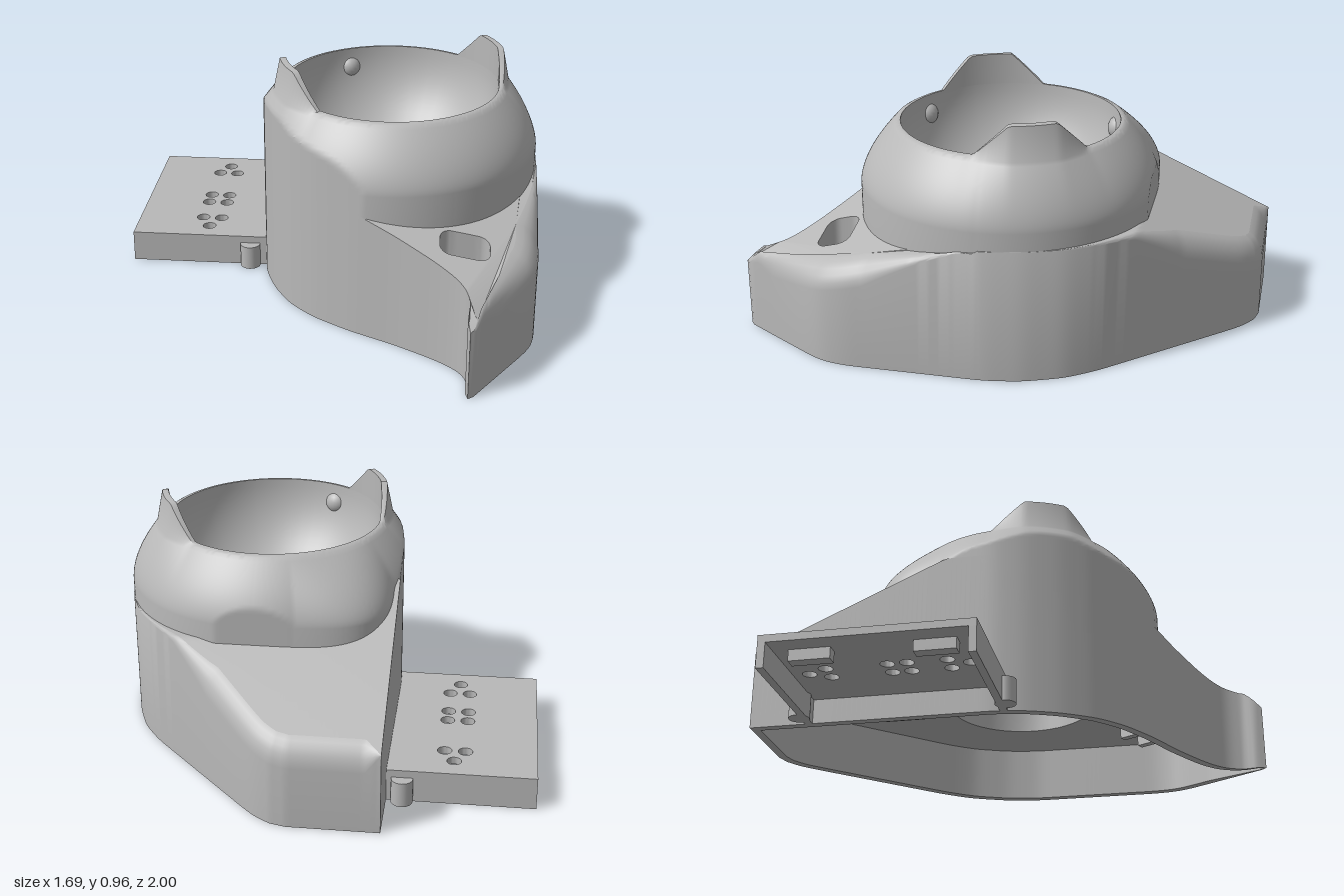
import * as THREE from 'three';
import { toCreasedNormals } from 'three/addons/utils/BufferGeometryUtils.js';

const CX = 0.25;     // turret axis
const FLOOR = 0.225; // underside plate height
const clamp = THREE.MathUtils.clamp;
const V = (x, y, z) => new THREE.Vector3(x, y, z);

// Footprint corners (x, z)
const OUTLINE = [
  [-0.28, -0.01], [-0.28, -1], [0.07, -1], [0.13, -0.985], [0.19, -0.95], [0.25, -0.89], [0.68, -0.43],
  [0.76, -0.32], [0.82, -0.17], [0.845, -0.03], [0.845, 0.52], [0.83, 0.61], [0.8, 0.67], [0.605, 0.985],
  [0.585, 1], [0.575, 0.965], [0.583, 0.91], [0.57, 0.85], [0.53, 0.8], [0.45, 0.74], [0.3, 0.65],
  [0.12, 0.56], [-0.03, 0.465], [-0.13, 0.37], [-0.21, 0.24], [-0.26, 0.11],
];

// Sloping roof heights: one plane at the back, one tilted plane at the front
function roofY(x, z) {
  if (z < 0) return Math.min(x > 0.3 ? 0.53 : 0.68, 0.52 + 0.45 * (z + 0.57));
  return Math.min(0.52, 0.5 - 0.185 * (x - 0.2) - 0.26 * (z - 0.6)) - 0.7 * Math.max(0, z - 0.93);
}

// Turret plan radius: a circle, squared off at the back
function planRadius(a) {
  const c = Math.cos(a), s = Math.sin(a);
  if (c < 0 && s < 0) return Math.pow((c / 0.53) ** 4 + (s / 0.57) ** 4, -0.25);
  return s < 0 ? Math.min(0.59, 0.57 / -s) : 0.59;
}

// Closed loop of corners divided into short steps
function densify(list) {
  return list.flatMap(([x, z], i) => {
    const [x2, z2] = list[(i + 1) % list.length];
    const n = Math.ceil(Math.hypot(x2 - x, z2 - z) / 0.02 - 1e-6);
    return Array.from({ length: n }, (_, k) => ({ x: x + (x2 - x) * k / n, z: z + (z2 - z) * k / n }));
  });
}

// Footprint points with inward normals, wall thickness, roof edge fillet and turret radius
function samplePlan() {
  let pts = densify(OUTLINE);
  const at = i => pts[(i + pts.length) % pts.length];
  for (let pass = 0; pass < 6; pass++) {
    pts = pts.map((p, i) => p.z > 0.9 || p.z < -0.98 ? p : {
      x: (at(i - 1).x + 2 * p.x + at(i + 1).x) / 4, z: (at(i - 1).z + 2 * p.z + at(i + 1).z) / 4,
    });
  }
  pts.forEach((p, i) => {
    const tx = at(i + 1).x - at(i - 1).x, tz = at(i + 1).z - at(i - 1).z, l = Math.hypot(tx, tz);
    p.nx = -tz / l; p.nz = tx / l;
    p.a = Math.atan2(p.z, p.x - CX);
    p.d = Math.hypot(p.x - CX, p.z);
    p.t = Math.min(planRadius(p.a), p.d);
    const b = p.z > 0.5 && p.x < 0.6 ? 0 : clamp((p.d - p.t) / 0.15, 0, 1) * clamp((p.x + 0.28) / 0.06, 0, 1);
    p.inset = b * (p.z > 0 ? 0.09 * clamp((1 - p.z) / 0.35, 0, 1) : 0.06);
    p.drop = b * 0.08 * clamp((1 - p.z) / 0.15, 0, 1);
    p.wall = 0.035 * clamp((1.02 - p.z) / 0.25, 0.2, 1);
    p.edge = V(p.x + p.nx * p.inset, 0, p.z + p.nz * p.inset);
    p.edge.y = roofY(p.edge.x, p.edge.z);
  });
  return pts;
}

// Skin through rows of points, closed into rings or left open
function skin(rows, crease = 0.6, closed = true) {
  const n = rows[0].length, pos = [], idx = [];
  rows.forEach(r => r.forEach(p => pos.push(p.x, p.y, p.z)));
  for (let r = 0; r < rows.length - 1; r++) for (let i = 0; i < (closed ? n : n - 1); i++) {
    const a = r * n + i, b = r * n + (i + 1) % n;
    idx.push(a, a + n, b, b, a + n, b + n);
  }
  const g = new THREE.BufferGeometry();
  g.setAttribute('position', new THREE.Float32BufferAttribute(pos, 3));
  g.setIndex(idx);
  return toCreasedNormals(g, crease);
}

function roundedRect(cx, cz, w, d, r, seg = 8) {
  const out = [];
  for (let q = 0; q < 4; q++) for (let k = 0; k <= seg; k++) {
    const a = (q + k / seg) * Math.PI / 2;
    const sx = q === 0 || q === 3 ? 1 : -1, sz = q < 2 ? 1 : -1;
    out.push([cx + sx * (w / 2 - r) + r * Math.cos(a), cz + sz * (d / 2 - r) + r * Math.sin(a)]);
  }
  return densify(out);
}

export function createModel() {
  const root = new THREE.Group();
  const grey = new THREE.MeshStandardMaterial({ color: 0xb8b8b8, side: THREE.DoubleSide });
  grey.name = 'grey plastic';
  const add = (name, geo, x = 0, y = 0, z = 0) => {
    const m = new THREE.Mesh(geo, grey);
    m.name = name;
    m.position.set(x, y, z);
    root.add(m);
    return m;
  };
  const box = (name, w, h, d, x, y, z, ry = 0) => {
    add(name, new THREE.BoxGeometry(w, h, d), x, y, z).rotation.y = ry;
  };
  const pts = samplePlan();

  // Skirt: inner wall, bottom rim, outer wall and rounded shoulder
  const ring = (off, y) => pts.map(p => V(p.x + p.nx * off(p), y, p.z + p.nz * off(p)));
  const fillet = [0, 0.2, 0.4, 0.6, 0.8, 1].map(k => k * Math.PI / 2);
  add('skirtWall', skin([
    ring(p => p.wall, FLOOR),
    ring(p => p.wall, 0),
    ring(() => 0, 0),
    ...fillet.map(e => ring(p => p.inset * (1 - Math.cos(e)), 0).map((v, i) =>
      v.setY(roofY(v.x, v.z) - pts[i].drop * (1 - Math.sin(e))))),
  ]));

  // Sloping roofs between the skirt and the turret, the front one with a slot
  const slot = roundedRect(0.56, 0.62, 0.19, 0.13, 0.045);
  const onRoof = p => V(p.x, roofY(p.x, p.z), p.z);
  const innerEdge = p => onRoof({ x: CX + Math.cos(p.a) * p.t * 0.93, z: Math.sin(p.a) * p.t * 0.93 });
  const outside = pts.filter(p => p.d > p.t + 0.003);

  const back = outside.filter(p => p.z < 0);
  const steps = Array.from({ length: 13 }, (_, k) => k / 12);
  add('backRoof', skin(steps.map(k => back.map(p => onRoof(p.edge.clone().lerp(innerEdge(p), k)))), 0.8, false));

  const front = outside.filter(p => p.z > 0);
  const to2 = p => new THREE.Vector2(p.x, -p.z);
  const frontShape = new THREE.Shape([...front.map(p => to2(p.edge)), ...front.map(p => to2(innerEdge(p))).reverse()]);
  frontShape.holes.push(new THREE.Path(slot.map(to2)));
  const frontGeo = new THREE.ShapeGeometry(frontShape).rotateX(-Math.PI / 2);
  const fp = frontGeo.attributes.position;
  for (let i = 0; i < fp.count; i++) fp.setY(i, roofY(fp.getX(i), fp.getZ(i)));
  add('frontRoof', toCreasedNormals(frontGeo, 0.4));
  add('slotWall', skin([slot.map(onRoof), slot.map(p => V(p.x, FLOOR, p.z))]));

  // Turret: shoulder clipped by the plan, with two opposite fins on the rim
  const sorted = [...pts].sort((a, b) => a.a - b.a);
  const fin = a => Math.max(...[-0.41, Math.PI - 0.41].map(c => {
    const d = Math.abs(Math.atan2(Math.sin(a - c), Math.cos(a - c)));
    return clamp((0.51 - d) / 0.31, 0, 1);
  }));
  const polar = (r, y) => sorted.map(p => V(CX + Math.cos(p.a) * r(p), y(p), Math.sin(p.a) * r(p)));
  const top = p => 0.84 + 0.125 * fin(p.a);
  const shoulder = Array.from({ length: 20 }, (_, i) => {
    const u = i / 19.5, k = 1 - u ** 1.6;
    return polar(p => Math.min(
      0.447 + (Math.max(planRadius(p.a), 0.59) - 0.447) * k + 0.03 * fin(p.a) * (1 - k), p.t), () => 0.6 + 0.24 * u);
  });
  add('turret', skin([
    polar(p => p.t, () => 0.36),
    ...shoulder,
    polar(p => 0.445 + 0.01 * fin(p.a), p => top(p) - 0.002),
    polar(() => 0.44, top),
    polar(() => 0.43, top),
    polar(() => 0.43, () => 0.835),
  ]));

  // Ball socket, centred at the rim, with a square window at the bottom
  const R = 0.43;
  const win = roundedRect(0.24, 0.02, 0.25, 0.25, 0.06);
  add('ballSocket', skin(Array.from({ length: 17 }, (_, k) => win.map(p => {
    const a = Math.atan2(p.z, p.x - CX);
    const e0 = Math.asin(Math.hypot(p.x - CX, p.z) / R);
    const e = Math.PI / 2 + (e0 - Math.PI / 2) * k / 16;
    return V(CX + Math.cos(a) * Math.sin(e) * R, 0.838 - Math.cos(e) * R, Math.sin(a) * Math.sin(e) * R);
  })), 0.8));

  // Round well under the socket, leading to the window
  const wellRing = y => win.map(p => {
    const a = Math.atan2(p.z, p.x - CX);
    return V(CX + Math.cos(a) * 0.3, y, Math.sin(a) * 0.3);
  });
  const winRing = y => win.map(p => V(p.x, y, p.z));
  add('windowWall', skin([winRing(0.435), winRing(0.36)]));
  add('well', skin([winRing(0.36), wellRing(0.36), wellRing(FLOOR)]));

  // Three bearings set in the socket
  [[0, 0.64], [2.04, 0.755], [-2.04, 0.755]].forEach(([a, y]) => {
    const r = Math.sqrt(R ** 2 - (0.838 - y) ** 2) + 0.03;
    add('bearing', new THREE.SphereGeometry(0.05, 20, 14), CX + Math.cos(a) * r, y, Math.sin(a) * r);
  });

  // Flat plate closing the underside, open at the well and the slot
  const flat = p => new THREE.Vector2(p.x, p.z);
  const base = new THREE.Shape(ring(p => p.wall * 0.95, 0).map(flat));
  base.holes.push(new THREE.Path(wellRing(0).map(flat)), new THREE.Path(slot.map(flat)));
  add('underPlate', new THREE.ShapeGeometry(base).rotateX(Math.PI / 2), 0, FLOOR, 0);

  // Bracket, cable mount and wall rail below the plate
  for (const s of [-1, 1]) box('bracketCheek', 0.03, 0.18, 0.1, 0.27 + s * 0.05, 0.135, 0.5 + s * 0.03, -0.5);
  box('bracketBack', 0.11, 0.18, 0.03, 0.25, 0.135, 0.54, -0.5);
  for (const z of [-0.5, -0.36]) box('mountWall', 0.14, 0.14, 0.02, -0.1, 0.155, z);
  box('mountRib', 0.02, 0.14, 0.14, -0.04, 0.155, -0.43);
  box('wallRail', 0.26, 0.03, 0.03, -0.1, 0.06, 0.345, -0.9);

  // Side platform: channel with a perforated top
  const plate = new THREE.Shape([[-0.845, -0.04], [-0.26, -0.04], [-0.26, 0.77], [-0.845, 0.77]]
    .map(p => new THREE.Vector2(...p)));
  const holes = [[-0.53, -0.675], [-0.53, -0.05]];
  for (const z of [-0.6, -0.36, -0.285, -0.13]) holes.push([-0.57, z], [-0.49, z]);
  holes.forEach(([x, z]) => plate.holes.push(new THREE.Path().absarc(x, -z, 0.028, 0, Math.PI * 2, true)));
  const plateGeo = new THREE.ExtrudeGeometry(plate, { depth: 0.03, bevelEnabled: false, curveSegments: 12 });
  add('platformTop', toCreasedNormals(plateGeo.rotateX(-Math.PI / 2), 0.6), 0, 0.1, 0);
  for (const z of [-0.755, 0.025]) box('platformSide', 0.585, 0.115, 0.03, -0.5525, 0.0575, z);
  for (const z of [-0.6, -0.13]) box('platformRib', 0.05, 0.05, 0.16, -0.74, 0.08, z);

  // Rounded lugs on both sides of the platform
  for (const z of [-0.775, 0.045]) {
    add('lug', new THREE.CylinderGeometry(0.042, 0.042, 0.1, 24), -0.34, 0.05, z);
  }
  return root;
}
